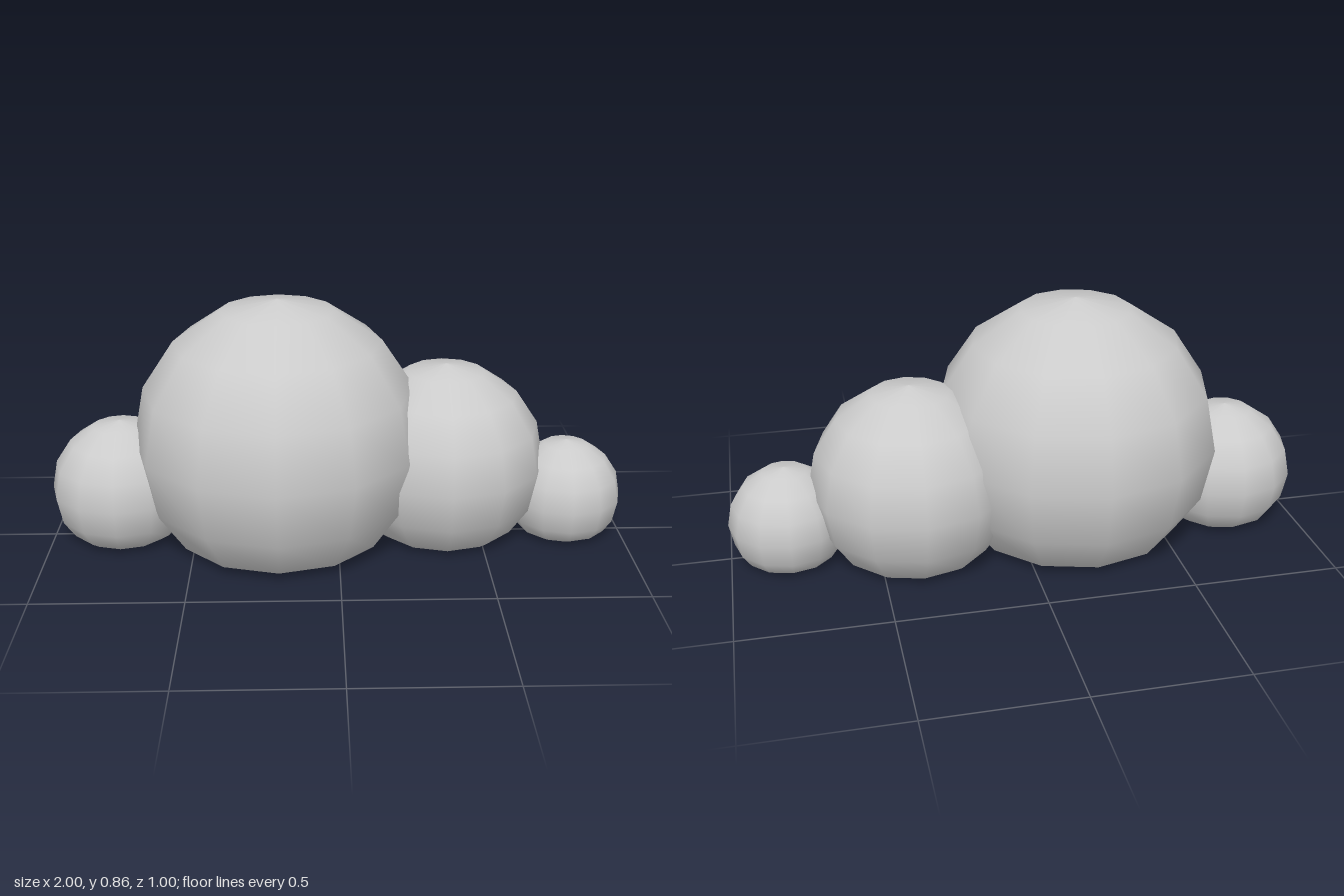
import * as THREE from 'three';

const material = new THREE.MeshStandardMaterial({ color: 0xcccccc });
const SIDES = 12;
const RINGS = 8;

// Low-poly ball cut off near the ground, with a shallow bevel and a flat base.
function createPuff(name, { x, y, z, radius, cut, base, baseRadius }) {
  const puff = new THREE.Group();
  puff.name = name;
  puff.position.set(x, 0, z);

  const ring = (i) => {
    const a = (i / RINGS) * Math.PI;
    return new THREE.Vector2(radius * Math.sin(a), y + radius * Math.cos(a));
  };

  // Where the cut crosses the facet between the two lowest rings
  const above = ring(5), below = ring(6);
  const cutPoint = above.clone().lerp(below, (above.y - cut) / (above.y - below.y));

  const profile = [new THREE.Vector2(baseRadius, base), cutPoint];
  for (let i = 5; i > 0; i--) profile.push(ring(i));
  profile.push(new THREE.Vector2(0, y + radius));

  const body = new THREE.Mesh(new THREE.LatheGeometry(profile, SIDES), material);
  body.name = name + 'Body';

  // Flat underside
  const bottom = new THREE.Mesh(new THREE.CircleGeometry(baseRadius, SIDES), material);
  bottom.name = name + 'Base';
  bottom.rotation.x = Math.PI / 2;
  bottom.position.y = base;

  puff.add(body, bottom);
  return puff;
}

export function createModel() {
  const cloud = new THREE.Group();
  cloud.name = 'cloud';
  cloud.add(
    createPuff('largePuff', { x: -0.203, y: 0.361, z: 0, radius: 0.5, cut: 0.031, base: 0.009, baseRadius: 0.325 }),
    createPuff('mediumPuff', { x: 0.373, y: 0.262, z: -0.049, radius: 0.352, cut: 0.031, base: 0.009, baseRadius: 0.23 }),
    createPuff('leftoverPuff', { x: -0.754, y: 0.183, z: -0.018, radius: 0.245, cut: 0.03, base: 0.008, baseRadius: 0.155 }),
    createPuff('smallPuff', { x: 0.799, y: 0.142, z: -0.015, radius: 0.2, cut: 0.02, base: 0.002, baseRadius: 0.12 }),
  );
  return cloud;
}
